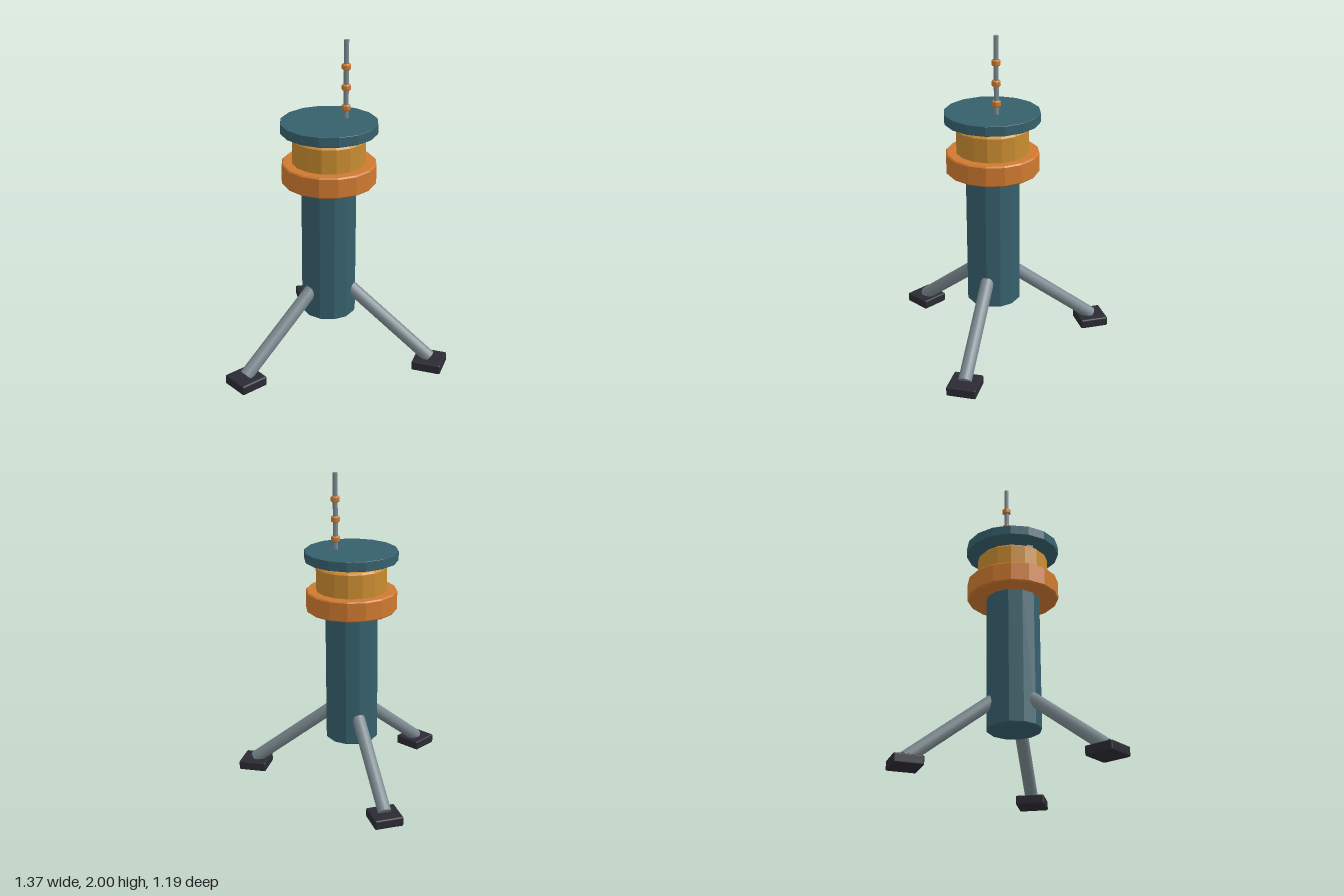
import * as THREE from 'three';
import { RoundedBoxGeometry } from 'three/addons/geometries/RoundedBoxGeometry.js';

const mat = (name, color) => new THREE.MeshStandardMaterial({ name, color });

export function createModel() {
  const teal = mat('teal', 0x36606c);
  const orange = mat('orange', 0xcf7a30);
  const amber = mat('amber', 0xc98c30);
  const steel = mat('steel', 0x7c8a90);
  const dark = mat('dark rubber', 0x2b2a33);

  const model = new THREE.Group();
  model.name = 'tripodBeacon';
  // everything is arranged around the body axis
  const core = new THREE.Group();
  core.name = 'core';
  core.position.z = 0.147;
  model.add(core);

  const add = (parent, name, geo, material, x = 0, y = 0, z = 0) => {
    const mesh = new THREE.Mesh(geo, material);
    mesh.name = name;
    mesh.position.set(x, y, z);
    parent.add(mesh);
    return mesh;
  };

  // faceted drum with small bevels, corners on the x and z axes
  const drum = (r, y0, y1, sides, bevel) => {
    const pts = [[0, y0], [r - bevel, y0], [r, y0 + bevel], [r, y1 - bevel], [r - bevel, y1], [0, y1]];
    const geo = new THREE.LatheGeometry(pts.map(p => new THREE.Vector2(...p)), sides).toNonIndexed();
    geo.computeVertexNormals();
    return geo;
  };

  // body stack
  add(core, 'body', drum(0.167, 0.29, 1.16, 12, 0.008), teal);
  add(core, 'collar', drum(0.284, 1.145, 1.272, 16, 0.008), orange);
  add(core, 'head', drum(0.22, 1.26, 1.43, 16, 0.012), amber);
  add(core, 'capSupport', new THREE.BoxGeometry(0.345, 0.04, 0.04), steel, 0, 1.445, 0.053);
  add(core, 'cap', drum(0.29, 1.46, 1.52, 16, 0.002), teal);

  // antenna with three bands
  const antenna = new THREE.Group();
  antenna.name = 'antenna';
  antenna.position.x = 0.1;
  core.add(antenna);
  add(antenna, 'rod', new THREE.CylinderGeometry(0.015, 0.015, 0.467, 10), steel, 0, 1.7665, 0);
  for (const y of [1.598, 1.72, 1.842]) add(antenna, 'band', drum(0.027, y - 0.018, y + 0.018, 10, 0.006), orange);

  // three splayed legs with square feet, one pointing straight back
  const top = new THREE.Vector3(0, 0.485, -0.108);
  const foot = new THREE.Vector3(0, 0.06, -0.655);
  for (let i = 0; i < 3; i++) {
    const leg = new THREE.Group();
    leg.name = 'leg' + (i + 1);
    leg.rotation.y = i * Math.PI * 2 / 3;
    core.add(leg);
    const dir = top.clone().sub(foot);
    const strut = add(leg, 'strut', new THREE.CylinderGeometry(0.041, 0.041, dir.length(), 16), steel);
    strut.position.copy(top).add(foot).multiplyScalar(0.5);
    strut.quaternion.setFromUnitVectors(new THREE.Vector3(0, 1, 0), dir.normalize());
    add(leg, 'foot', new RoundedBoxGeometry(0.18, 0.06, 0.18, 2, 0.01), dark, 0, 0.03, foot.z);
  }
  return model;
}
